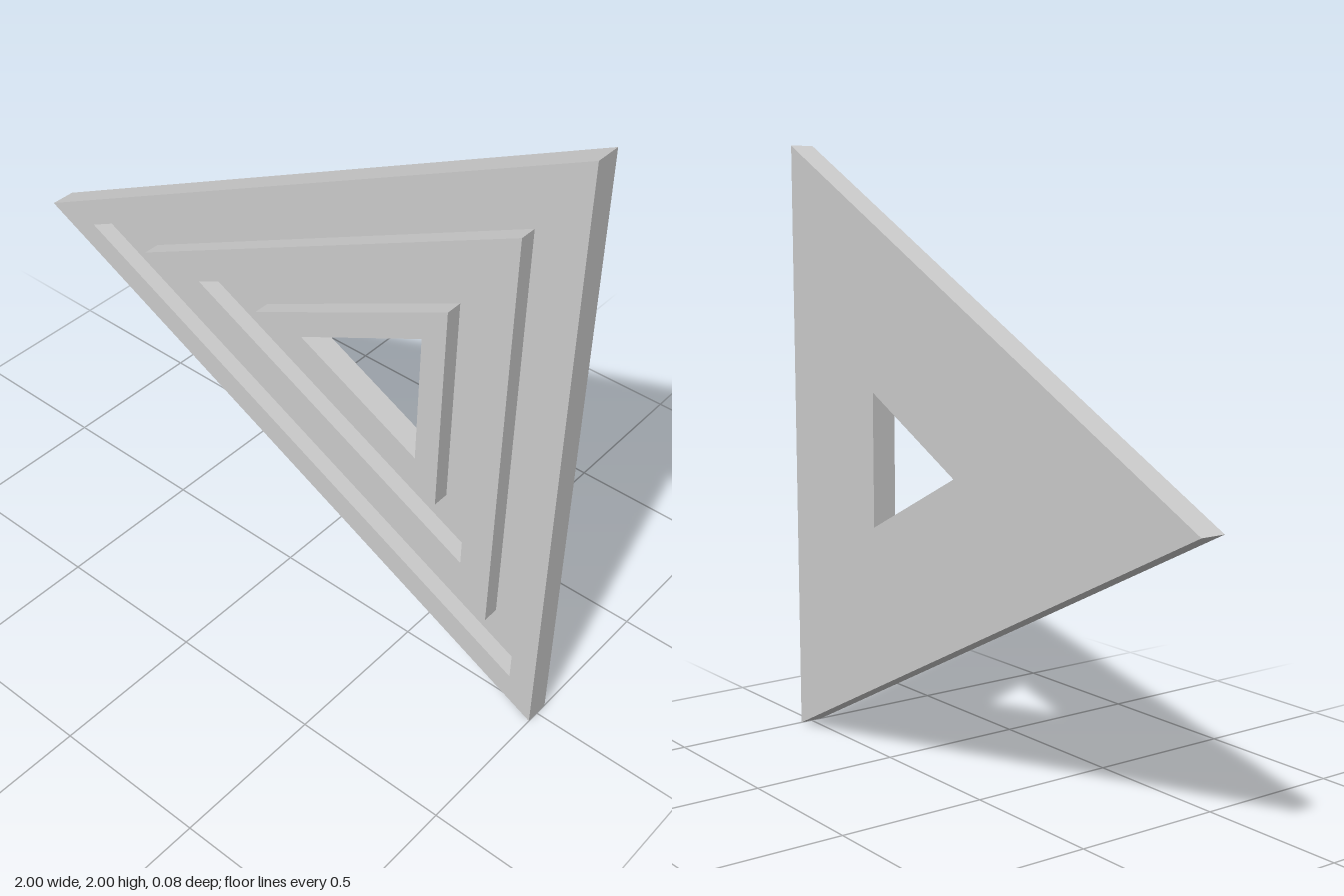
import * as THREE from 'three';

const BACK = -0.041, FRONT = 0.041, FLOOR = -0.014;

// Corners of the triangle, inset evenly from its sides, counter-clockwise from the front
function triangle(inset, z) {
  const apex = -1 + inset * Math.sqrt(5), right = 1 - inset;
  const half = (right - apex) / 2;
  return [[apex, 1, z], [right, 1 - half, z], [right, 1 + half, z]];
}

// Sweeps a closed (inset, z) cross-section around the triangle
function sweepProfile(profile) {
  const loops = profile.map(([inset, z]) => triangle(inset, z));
  const positions = [];
  loops.forEach((loop, i) => {
    const next = loops[(i + 1) % loops.length];
    for (let k = 0; k < 3; k++) {
      const n = (k + 1) % 3;
      const [a, b, c, d] = [loop[k], loop[n], next[n], next[k]];
      positions.push(...a, ...b, ...c, ...a, ...c, ...d);
    }
  });
  const geometry = new THREE.BufferGeometry();
  geometry.setAttribute('position', new THREE.Float32BufferAttribute(positions, 3));
  geometry.computeVertexNormals();
  return geometry;
}

export function createModel() {
  const group = new THREE.Group();
  group.name = 'triangularPlate';

  // Flat back, raised bands and two grooves in front, open centre
  const profile = [[0, BACK], [0, FRONT]];
  for (const [start, end] of [[0.085, 0.19], [0.295, 0.4]]) {
    profile.push([start, FRONT], [start, FLOOR], [end, FLOOR], [end, FRONT]);
  }
  profile.push([0.482, FRONT], [0.482, BACK]);

  const plate = new THREE.Mesh(
    sweepProfile(profile),
    new THREE.MeshStandardMaterial({ color: 0xcccccc, flatShading: true })
  );
  plate.name = 'groovedTriangleFrame';
  group.add(plate);
  return group;
}
